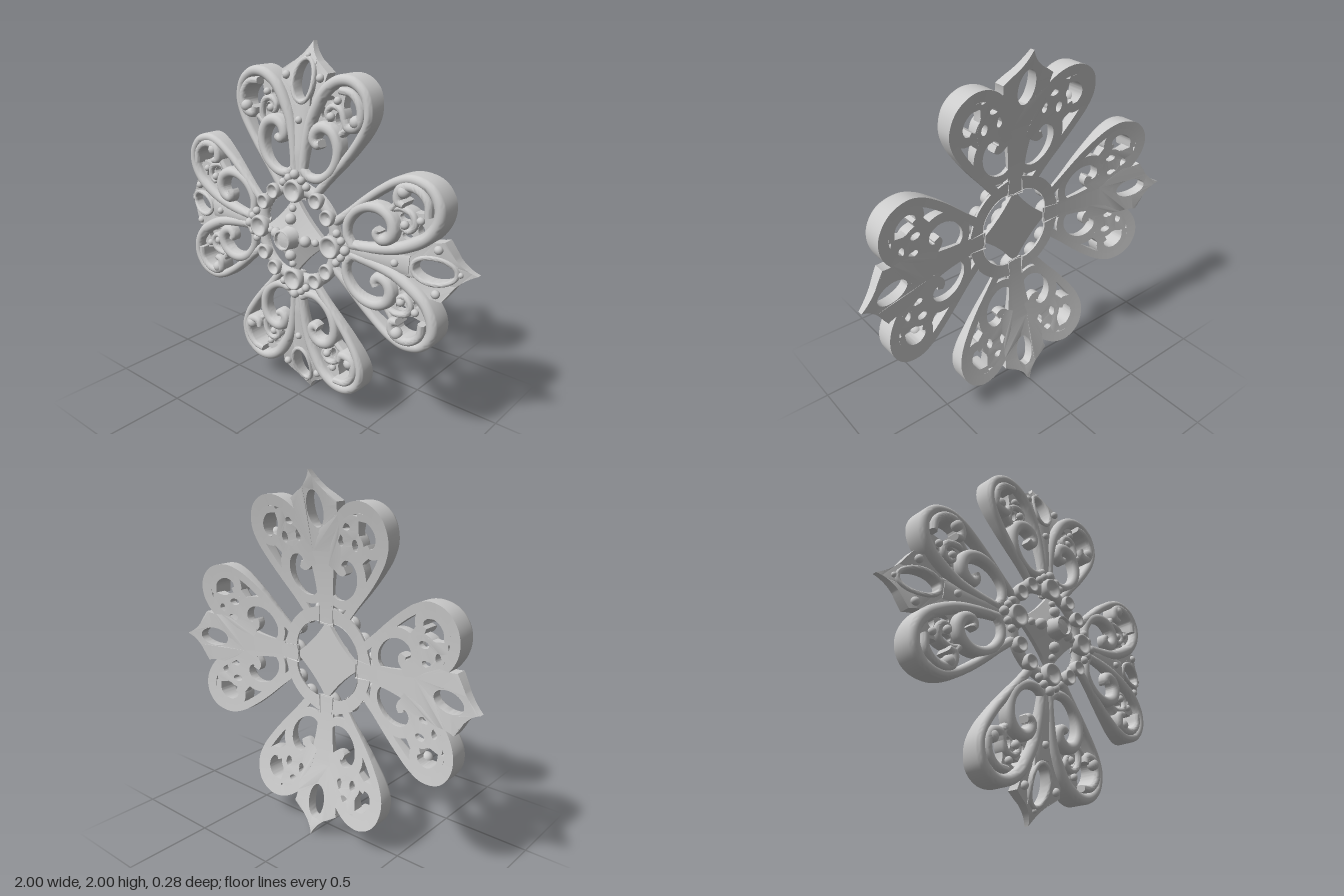
import * as THREE from 'three';
import { toCreasedNormals } from 'three/addons/utils/BufferGeometryUtils.js';

const mat = new THREE.MeshStandardMaterial({ color: 0xcccccc, side: THREE.DoubleSide });
const V2 = (a) => a.map(([x, y]) => new THREE.Vector2(x, y));

// Dished back surface, and the front of the end leaf, which curls backwards
const backZ = (x, y) => 0.004 - 0.146 * (x * x + y * y);
const leafZ = (x, y) => -0.015 - 0.1 * Math.max(0, (y - 0.68) / 0.32) ** 2;

function add(parent, name, geo) {
  const m = new THREE.Mesh(geo, mat);
  m.name = name;
  parent.add(m);
  return m;
}

// Band with a rounded front, straight sides and a back that follows the dish
function strand(pts, widths, top, { closed = false, n = 44, round = 1 } = {}) {
  const curve = new THREE.CatmullRomCurve3(pts.map(([x, y]) => new THREE.Vector3(x, y, 0)), closed, 'centripetal');
  const K = 8, S = K + 3, pos = [], idx = [];
  for (let i = 0; i <= n; i++) {
    const t = i / n, p = curve.getPoint(t), d = curve.getTangent(t);
    const f = t * (widths.length - 1), a = Math.min(Math.floor(f), widths.length - 2);
    const w = widths.length < 2 ? widths[0] : THREE.MathUtils.lerp(widths[a], widths[a + 1], f - a);
    const zt = typeof top === 'function' ? top(p.x, p.y) : top;
    const h = Math.min(w, 0.032) * round;
    const put = (s, z) => {
      const x = p.x + d.y * s, y = p.y - d.x * s;
      pos.push(x, y, z === null ? backZ(x, y) : z);
    };
    put(w, null);
    for (let k = 0; k <= K; k++) {
      const g = (Math.PI * k) / K;
      put(w * Math.cos(g), zt - h + h * Math.sin(g));
    }
    put(-w, null);
  }
  for (let i = 0; i < n; i++)
    for (let k = 0; k < S; k++) {
      const a = i * S + k, b = i * S + ((k + 1) % S);
      idx.push(a, a + S, b, b, a + S, b + S);
    }
  if (!closed)
    for (let k = 1; k < S - 1; k++) idx.push(0, k, k + 1, n * S, n * S + k + 1, n * S + k);
  const geo = new THREE.BufferGeometry();
  geo.setAttribute('position', new THREE.Float32BufferAttribute(pos, 3));
  geo.setIndex(idx);
  return toCreasedNormals(geo, 0.8);
}

// Pierced plate between the dished back and a given front height
function plate(shape, top) {
  const geo = new THREE.ExtrudeGeometry(shape, { depth: 1, bevelEnabled: false, curveSegments: 20 });
  const p = geo.attributes.position;
  for (let i = 0; i < p.count; i++) {
    const x = p.getX(i), y = p.getY(i);
    p.setZ(i, p.getZ(i) < 0.5 ? backZ(x, y) : top(x, y));
  }
  return toCreasedNormals(geo, 0.6);
}

const bead = (parent, x, y, z, r, name = 'bead') =>
  add(parent, name, new THREE.SphereGeometry(r, 16, 12)).position.set(x, y, z);

// Hollow round setting facing forwards
function cup(parent, x, y, z, R, h) {
  const prof = V2([[R * 0.9, -0.01], [R, h * 0.35], [R, h * 0.65], [R * 0.93, h * 0.95], [R * 0.82, h],
    [R * 0.7, h * 0.85], [R * 0.45, h * 0.5], [0.0001, h * 0.35]]);
  const geo = new THREE.LatheGeometry(prof, 28).rotateX(Math.PI / 2);
  add(parent, 'cup', geo).position.set(x, y, z);
}

function hole(shape, x, y, rx, ry) {
  shape.holes.push(new THREE.Path().absellipse(x, y, rx, ry, 0, Math.PI * 2, true));
}

function makePetal() {
  const g = new THREE.Group();
  g.name = 'petal';
  for (const s of [-1, 1]) {
    const m = (a) => a.map(([x, y]) => [x * s, y]);
    // Heart-shaped outer rim running from the ring, over the lobe and down to the stem
    add(g, 'lobeRim', strand(m([[0.125, 0.25], [0.195, 0.335], [0.275, 0.425], [0.35, 0.52], [0.405, 0.61], [0.426, 0.69],
      [0.4, 0.782], [0.33, 0.832], [0.25, 0.832], [0.17, 0.785], [0.11, 0.7], [0.065, 0.6], [0.035, 0.45], [0.025, 0.3]]),
    [0.024, 0.023, 0.023, 0.025, 0.028, 0.03, 0.033, 0.03, 0.025],
    (x, y) => 0.012 + 0.03 * Math.max(0, 0.6 - Math.hypot(x, y)), { n: 80 }));
    // Hook curling inside the lobe
    add(g, 'lobeHook', strand(m([[0.27, 0.79], [0.34, 0.78], [0.385, 0.73], [0.392, 0.67], [0.365, 0.625],
      [0.315, 0.62], [0.3, 0.655]]), [0.018, 0.02, 0.022, 0.028, 0.026, 0.016], 0.024));
    bead(g, 0.365 * s, 0.65, 0.003, 0.032, 'hookBead');
    // Inner scroll, curling back against the stem
    add(g, 'innerScroll', strand(m([[0.03, 0.36], [0.075, 0.33], [0.14, 0.33], [0.21, 0.375], [0.25, 0.445], [0.253, 0.52],
      [0.218, 0.58], [0.16, 0.598], [0.115, 0.575], [0.1, 0.53], [0.125, 0.505], [0.15, 0.515]]),
    [0.022, 0.024, 0.026, 0.029, 0.032, 0.032, 0.028, 0.019], 0.024, { n: 64 }));
    // Small tendril between the scroll and the rim
    add(g, 'tendril', strand(m([[0.25, 0.55], [0.275, 0.62], [0.255, 0.69], [0.205, 0.705], [0.17, 0.675], [0.185, 0.64],
      [0.21, 0.65]]), [0.016, 0.017, 0.016, 0.014, 0.014], -0.005, { n: 36 }));
    bead(g, 0.2 * s, 0.655, -0.012, 0.022);
    bead(g, 0.235 * s, 0.735, -0.02, 0.02);
    // Recessed web with small piercings
    const web = new THREE.Shape(V2(m([[0.04, 0.52], [0.08, 0.66], [0.15, 0.76], [0.23, 0.8], [0.28, 0.79], [0.265, 0.72],
      [0.28, 0.64], [0.26, 0.56], [0.2, 0.59], [0.13, 0.57], [0.1, 0.5]])));
    hole(web, 0.234 * s, 0.648, 0.019, 0.03);
    hole(web, 0.187 * s, 0.737, 0.026, 0.018);
    hole(web, 0.142 * s, 0.665, 0.017, 0.03);
    add(g, 'web', plate(web, () => -0.03));
    // Tie joining the lobe hook to the scroll top
    add(g, 'tie', strand(m([[0.245, 0.56], [0.28, 0.59], [0.32, 0.62]]), [0.016, 0.016], 0, { n: 10 }));
    for (const [x, y] of [[0.112, 0.83], [0.045, 0.312]])
      bead(g, x * s, y, y > 0.5 ? leafZ(x, y) + 0.002 : 0.03, 0.022);
  }
  // Central stem
  add(g, 'stem', strand([[0, 0.2], [0, 0.32], [0, 0.45], [0, 0.58], [0, 0.69]],
    [0.05, 0.04, 0.048, 0.06, 0.07], (x, y) => 0.012 - 0.1 * Math.max(0, y - 0.45), { n: 20, round: 0.7 }));
  // Pointed end leaf with an oval opening
  const leaf = new THREE.Shape();
  leaf.moveTo(0, 1);
  const half = [[0, 1], [0.022, 0.945, 0.075, 0.905], [0.11, 0.885, 0.152, 0.855], [0.135, 0.8, 0.15, 0.74],
    [0.1, 0.66, 0.05, 0.58]];
  for (const c of half.slice(1)) leaf.quadraticCurveTo(...c);
  leaf.lineTo(-0.05, 0.58);
  for (let i = half.length - 1; i > 0; i--) {
    const [ex, ey] = half[i - 1].slice(-2);
    leaf.quadraticCurveTo(-half[i][0], half[i][1], -ex, ey);
  }
  hole(leaf, 0, 0.81, 0.058, 0.098);
  add(g, 'endLeaf', plate(leaf, leafZ));
  const oval = Array.from({ length: 16 }, (_, i) => {
    const a = (i * Math.PI) / 8;
    return [0.066 * Math.cos(a), 0.81 + 0.106 * Math.sin(a)];
  });
  add(g, 'ovalRim', strand(oval, [0.012], (x, y) => leafZ(x, y) + 0.01, { closed: true, n: 40 }));
  bead(g, 0, 0.93, leafZ(0, 0.93), 0.014);
  bead(g, 0, 0.615, -0.002, 0.02);
  // Ring section with its cups and beads
  add(g, 'ringBand', strand([[0, 0.255], [0.07, 0.25], [0.15, 0.22], [0.22, 0.15], [0.25, 0.07], [0.255, 0]],
    [0.05, 0.036, 0.036, 0.036, 0.05], 0.025));
  cup(g, 0, 0.25, 0.015, 0.062, 0.045);
  cup(g, 0.148, 0.222, 0.015, 0.043, 0.035);
  cup(g, 0.222, 0.148, 0.015, 0.043, 0.035);
  bead(g, 0, 0.338, 0.03, 0.026);
  for (const s of [-1, 1]) bead(g, 0.08 * s, 0.283, 0.03, 0.022);
  // Beads of the centre diamond
  bead(g, 0, 0.103, 0.062, 0.031);
  bead(g, 0, 0.157, 0.045, 0.02);
  return g;
}

function makeCentre() {
  const g = new THREE.Group();
  g.name = 'centre';
  // Concave diamond rising towards the middle
  const sh = new THREE.Shape();
  sh.moveTo(0.225, 0);
  for (const [cx, cy, x, y] of [[1, 1, 0, 1], [-1, 1, -1, 0], [-1, -1, 0, -1], [1, -1, 1, 0]])
    sh.quadraticCurveTo(cx * 0.09, cy * 0.09, x * 0.225, y * 0.225);
  const geo = new THREE.ExtrudeGeometry(sh, { depth: 1, steps: 4, bevelEnabled: false, curveSegments: 10 });
  const p = geo.attributes.position;
  for (let i = 0; i < p.count; i++) {
    const t = p.getZ(i), k = Math.max(0, (t - 0.25) / 0.75), sc = 1 - 0.7 * k;
    p.setXYZ(i, p.getX(i) * sc, p.getY(i) * sc, t < 0.1 ? 0 : 0.025 + 0.045 * k);
  }
  add(g, 'diamond', toCreasedNormals(geo, 0.5));
  // Raised boss with a dished face
  const prof = V2([[0.065, 0.05], [0.062, 0.072], [0.057, 0.08], [0.057, 0.13], [0.053, 0.138], [0.047, 0.138],
    [0.042, 0.122], [0.02, 0.126], [0.0001, 0.128]]);
  add(g, 'boss', toCreasedNormals(new THREE.LatheGeometry(prof, 32).rotateX(Math.PI / 2), 0.7));
  return g;
}

export function createModel() {
  const model = new THREE.Group();
  model.name = 'rosette';
  const petal = makePetal();
  for (let i = 0; i < 4; i++) {
    const p = petal.clone();
    p.rotation.z = (i * Math.PI) / 2;
    p.position.y = 1;
    model.add(p);
  }
  const centre = makeCentre();
  centre.position.y = 1;
  model.add(centre);
  return model;
}
